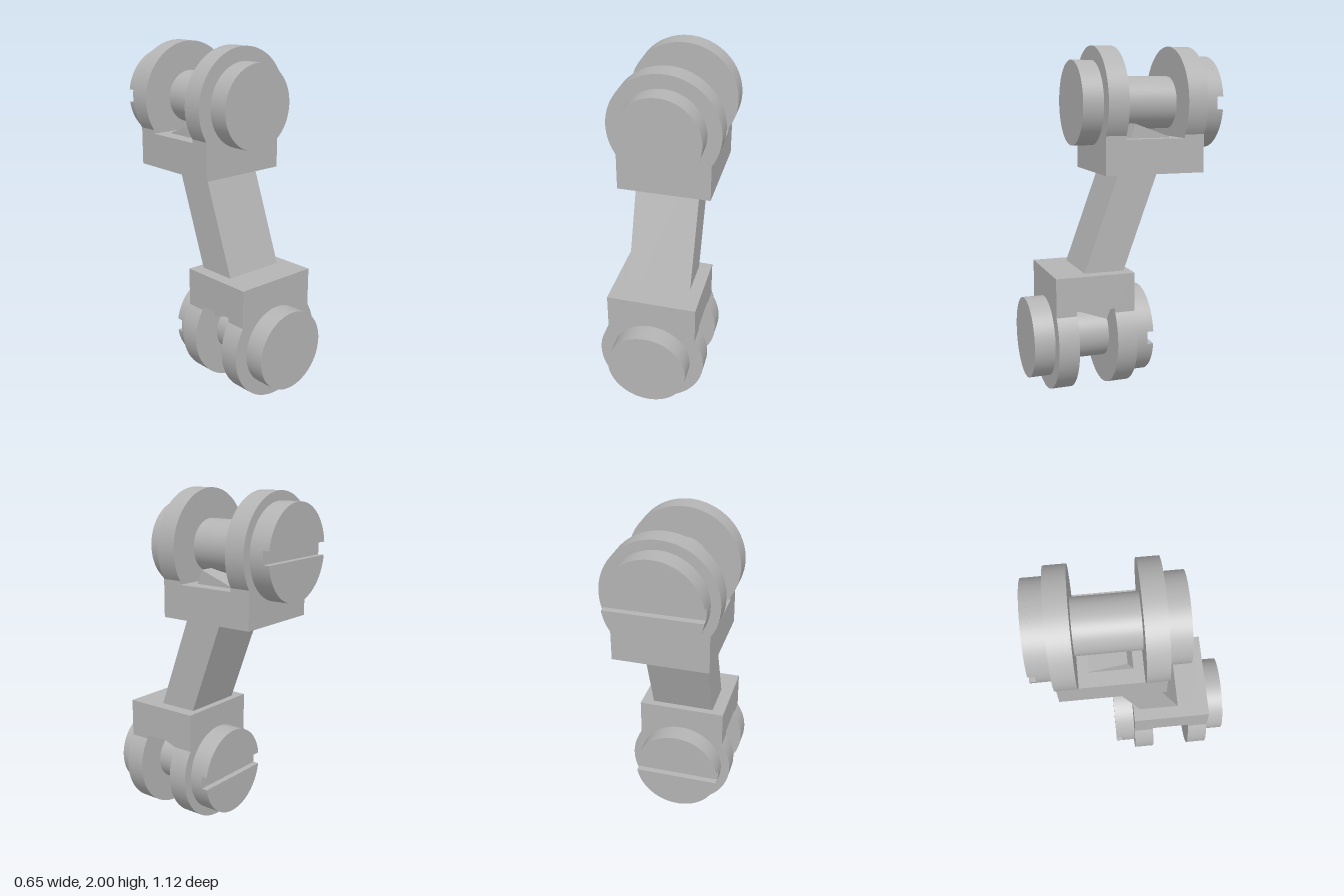
import * as THREE from 'three';
import { toCreasedNormals } from 'three/addons/utils/BufferGeometryUtils.js';

const metal = new THREE.MeshStandardMaterial({ color: 0xb4b4b4 });
metal.name = 'grey metal';

function add(parent, name, geometry, x = 0, y = 0, z = 0) {
  const mesh = new THREE.Mesh(geometry, metal);
  mesh.name = name;
  mesh.position.set(x, y, z);
  parent.add(mesh);
  return mesh;
}

// Extrude a shape from z0 to z1, keeping curved walls smooth
function slab(shape, z0, z1) {
  const g = new THREE.ExtrudeGeometry(shape, { depth: z1 - z0, bevelEnabled: false, curveSegments: 64 });
  g.translate(0, 0, z0);
  return toCreasedNormals(g, 0.5);
}

// Disc along z from z0 to z1
function disc(radius, z0, z1) {
  const g = new THREE.CylinderGeometry(radius, radius, z1 - z0, 64);
  g.rotateX(Math.PI / 2);
  g.translate(0, 0, (z0 + z1) / 2);
  return g;
}

// Round-ended cheek: a circle about the pin running into a square foot
function cheekShape(radius, halfWidth, foot) {
  const a = Math.acos(halfWidth / radius);
  const s = new THREE.Shape();
  s.moveTo(-halfWidth, foot);
  s.lineTo(halfWidth, foot);
  s.lineTo(halfWidth, -radius * Math.sin(a));
  s.absarc(0, 0, radius, -a, Math.PI + a, false);
  s.closePath();
  return s;
}

// Part of a disc beyond a chord at height h
function segmentShape(radius, h) {
  const a = Math.asin(h / radius);
  const s = new THREE.Shape();
  s.absarc(0, 0, radius, a, Math.PI - a, false);
  s.closePath();
  return s;
}

// Fork with a pin through it, with its origin on the pin axis
function createFork(name, p) {
  const fork = new THREE.Group();
  fork.name = name;
  const [front, frontInner, backInner, back] = p.z;
  const shape = cheekShape(p.radius, p.halfWidth, p.foot);
  add(fork, 'frontCheek', slab(shape, frontInner, front));
  add(fork, 'backCheek', slab(shape, back, backInner));
  add(fork, 'bridge', new THREE.BoxGeometry(2 * p.halfWidth, p.bridge - p.foot, frontInner - backInner),
    0, (p.bridge + p.foot) / 2, (frontInner + backInner) / 2);

  // Pin with a plain front head and a slotted back head
  add(fork, 'pin', disc(p.pin, backInner, frontInner));
  add(fork, 'plainHead', disc(p.frontHead, front, front + 0.12));
  const slotFloor = back - 0.083, headEnd = back - 0.12;
  add(fork, 'slottedHead', disc(p.backHead, slotFloor, back));
  const half = slab(segmentShape(p.backHead, 0.037), headEnd, slotFloor);
  add(fork, 'upperSlotLip', half);
  add(fork, 'lowerSlotLip', half).rotation.z = Math.PI;
  return fork;
}

export function createModel() {
  const model = new THREE.Group();
  model.name = 'linkage';

  const upper = createFork('upperFork', {
    radius: 0.324, halfWidth: 0.272, foot: -0.396, bridge: -0.197,
    z: [0.152, 0.032, -0.322, -0.442], pin: 0.153, frontHead: 0.243, backHead: 0.271,
  });
  upper.position.y = 1.676;
  model.add(upper);

  // Lower fork hangs upside down
  const lower = createFork('lowerFork', {
    radius: 0.315, halfWidth: 0.262, foot: -0.4, bridge: -0.2,
    z: [0.442, 0.322, 0.095, -0.024], pin: 0.152, frontHead: 0.235, backHead: 0.261,
  });
  lower.position.y = 0.316;
  lower.rotation.z = Math.PI;
  model.add(lower);

  // Slanted bar joining the two forks
  const bar = add(model, 'slantedBar', new THREE.BoxGeometry(0.376, 1.118, 0.222), 0, 0.998, 0.033);
  bar.rotation.x = -THREE.MathUtils.degToRad(20);

  return model;
}
